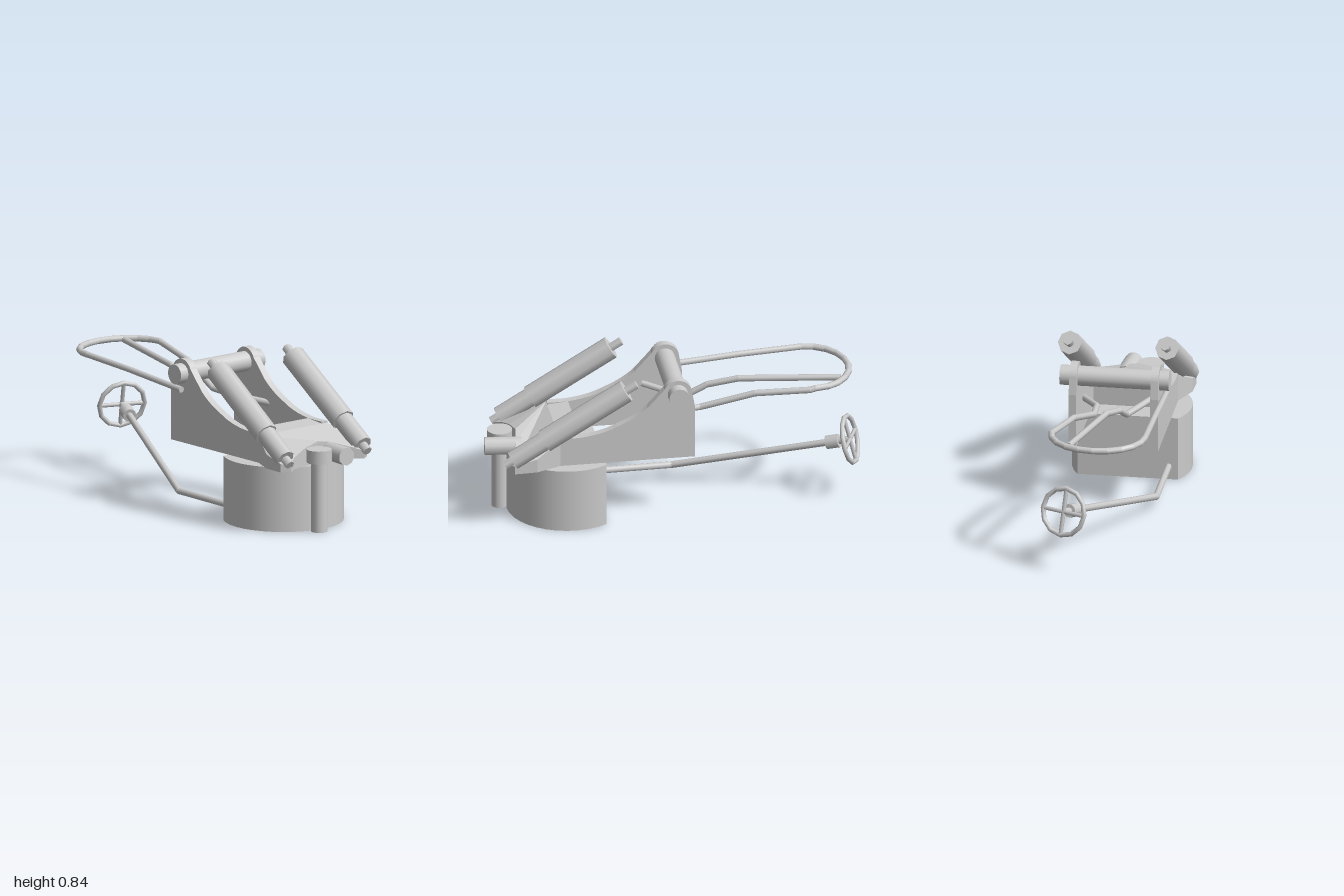
import * as THREE from 'three';

const mat = new THREE.MeshStandardMaterial({ color: 0xcccccc, side: THREE.DoubleSide });
const V = (x, y, z) => new THREE.Vector3(x, y, z);
const UP = V(0, 1, 0);

export function createModel() {
  const group = new THREE.Group();

  function add(name, geometry, parent = group) {
    const mesh = new THREE.Mesh(geometry, mat);
    mesh.name = name;
    parent.add(mesh);
    return mesh;
  }

  // Cylinder running from point a to point b
  function rod(name, a, b, r, sides = 12, parent = group) {
    const dir = b.clone().sub(a);
    const mesh = add(name, new THREE.CylinderGeometry(r, r, dir.length(), sides), parent);
    mesh.position.copy(a).add(b).multiplyScalar(0.5);
    mesh.quaternion.setFromUnitVectors(UP, dir.normalize());
    return mesh;
  }

  // Bent bar following a list of points, with straight runs and sharp bends
  function bar(name, points, r) {
    const path = new THREE.CurvePath();
    for (let i = 1; i < points.length; i++) path.add(new THREE.LineCurve3(points[i - 1], points[i]));
    const part = new THREE.Group();
    part.name = name;
    points.slice(1).forEach((p, i) => rod(name + 'Run', points[i], p, r, 8, part));
    points.slice(1, -1).forEach((p) => {
      add(name + 'Bend', new THREE.SphereGeometry(r, 8, 6), part).position.copy(p);
    });
    group.add(part);
  }

  // Drum base: round front, flat back, open underneath
  const R = 0.315, H = 0.345, cut = 2.14;
  const base = new THREE.Group();
  base.name = 'base';
  base.position.set(-0.02, 0, 0.55);
  group.add(base);
  add('baseWall', new THREE.CylinderGeometry(R, R, H, 24, 1, true, -cut, 2 * cut), base).position.y = H / 2;
  const back = add('baseBack', new THREE.PlaneGeometry(2 * R * Math.sin(cut), H), base);
  back.position.set(0, H / 2, R * Math.cos(cut));
  back.rotation.y = Math.PI;
  const lid = new THREE.Shape();
  lid.absarc(0, 0, R, -cut - Math.PI / 2, cut - Math.PI / 2);
  const top = add('baseTop', new THREE.ShapeGeometry(lid, 24), base);
  top.rotation.x = -Math.PI / 2;
  top.position.y = H;

  // Two side plates with a rounded eye for the shaft, drawn as (z, y)
  const side = new THREE.Shape();
  side.moveTo(-0.09, H);
  side.lineTo(0.62, H);
  side.lineTo(0.62, 0.5);
  side.lineTo(0.52, 0.5);
  side.quadraticCurveTo(0.4, 0.51, 0.32, 0.55);
  side.quadraticCurveTo(0.22, 0.59, 0.16, 0.645);
  side.lineTo(0.07, 0.745);
  side.absarc(0, 0.715, 0.076, 0.4, Math.PI - 0.3, false);
  side.lineTo(-0.09, 0.64);
  const sideGeo = new THREE.ExtrudeGeometry(side, { depth: 0.04, bevelEnabled: false, curveSegments: 8 });
  sideGeo.rotateY(-Math.PI / 2);
  add('leftSidePlate', sideGeo).position.x = 0.22;
  add('rightSidePlate', sideGeo).position.x = -0.21;

  // Sloping front deck with flared ears and a concave front edge: half outline as (x, z, top y)
  const half = [
    [0.235, 0.51, 0.5], [0.235, 0.62, 0.49], [0.29, 0.75, 0.42], [0.295, 0.87, 0.39],
    [0.25, 0.9, 0.385], [0.19, 0.86, 0.41], [0.1, 0.835, 0.44], [0, 0.82, 0.46],
  ];
  const mirrored = half.slice(0, -1).reverse().map(([x, z, y]) => [-x, z, y]);
  const outline = [...half, ...mirrored];
  const deck = new THREE.Shape(outline.map(([x, z]) => new THREE.Vector2(x, -z)));
  let deckGeo = new THREE.ExtrudeGeometry(deck, { depth: 1, bevelEnabled: false });
  deckGeo.rotateX(-Math.PI / 2);
  const pos = deckGeo.attributes.position;
  for (let i = 0; i < pos.count; i++) {
    const hit = outline.find(([x, z]) => Math.hypot(x - pos.getX(i), z - pos.getZ(i)) < 1e-4);
    pos.setY(i, pos.getY(i) > 0.5 ? hit[2] : H);
  }
  deckGeo.computeVertexNormals();
  add('frontDeck', deckGeo).position.x = -0.015;

  // Cross shaft
  rod('crossShaft', V(-0.3, 0.715, 0), V(0.275, 0.715, 0), 0.053, 20);

  // Hydraulic struts: foot pin, lower sleeve, main body, upper rod
  for (const [name, foot, head] of [
    ['leftStrut', V(0.245, 0.385, 0.915), V(0.272, 0.815, 0.225)],
    ['rightStrut', V(-0.275, 0.385, 0.905), V(-0.24, 0.815, 0.225)],
  ]) {
    const strut = new THREE.Group();
    strut.name = name;
    group.add(strut);
    const at = (t) => foot.clone().lerp(head, t);
    rod('strutFoot', at(0), at(0.1), 0.026, 6, strut);
    rod('strutSleeve', at(0.06), at(0.32), 0.052, 8, strut);
    rod('strutBody', at(0.3), at(0.92), 0.063, 8, strut);
    rod('strutRod', at(0.9), at(1), 0.025, 6, strut);
  }

  // Front pivot post with cap, and the short barrel beside it
  rod('pivotPost', V(-0.068, 0, 0.895), V(-0.068, 0.4, 0.895), 0.043, 16);
  rod('pivotCap', V(-0.068, 0.37, 0.895), V(-0.068, 0.44, 0.895), 0.066, 16);
  rod('frontBarrel', V(0.058, 0.4, 0.8), V(0.038, 0.4, 0.992), 0.048, 10);

  // Rear loop handle and its centre brace
  const loop = [V(0.2, 0.52, 0.2), V(0.085, 0.55, 0), V(0.08, 0.56, -0.14), V(0.145, 0.65, -0.42),
    V(0.212, 0.68, -0.7)];
  for (let i = 0; i <= 10; i++) {
    const a = (i / 10) * Math.PI;
    loop.push(V(-0.032 + 0.245 * Math.cos(a), 0.688, -0.73 - 0.21 * Math.sin(a)));
  }
  loop.push(V(-0.278, 0.67, -0.4), V(-0.278, 0.635, 0.03));
  bar('loopHandle', loop, 0.017);
  bar('handleBrace', [V(-0.21, 0.575, 0.12), V(-0.085, 0.545, -0.08), V(-0.065, 0.615, -0.2),
    V(-0.02, 0.66, -0.36), V(0.1, 0.685, -0.88)], 0.017);

  // Control shaft leading to the handwheel
  const elbow = V(-0.235, 0.075, -0.04), hub = V(0.12, 0.33, -0.925);
  const axis = hub.clone().sub(elbow).normalize();
  bar('controlShaft', [V(-0.235, 0.07, 0.48), elbow, hub], 0.018);
  rod('wheelHub', hub.clone().addScaledVector(axis, -0.13), hub.clone().addScaledVector(axis, -0.06), 0.036, 10);

  // Handwheel with four spokes
  const wheel = new THREE.Group();
  wheel.name = 'handwheel';
  wheel.position.copy(hub);
  wheel.lookAt(hub.clone().add(axis));
  group.add(wheel);
  add('wheelRim', new THREE.TorusGeometry(0.124, 0.013, 8, 12), wheel);
  rod('wheelSpoke', V(-0.124, 0, 0), V(0.124, 0, 0), 0.011, 6, wheel);
  rod('wheelSpoke', V(0, -0.124, 0), V(0, 0.124, 0), 0.011, 6, wheel);

  return group;
}
